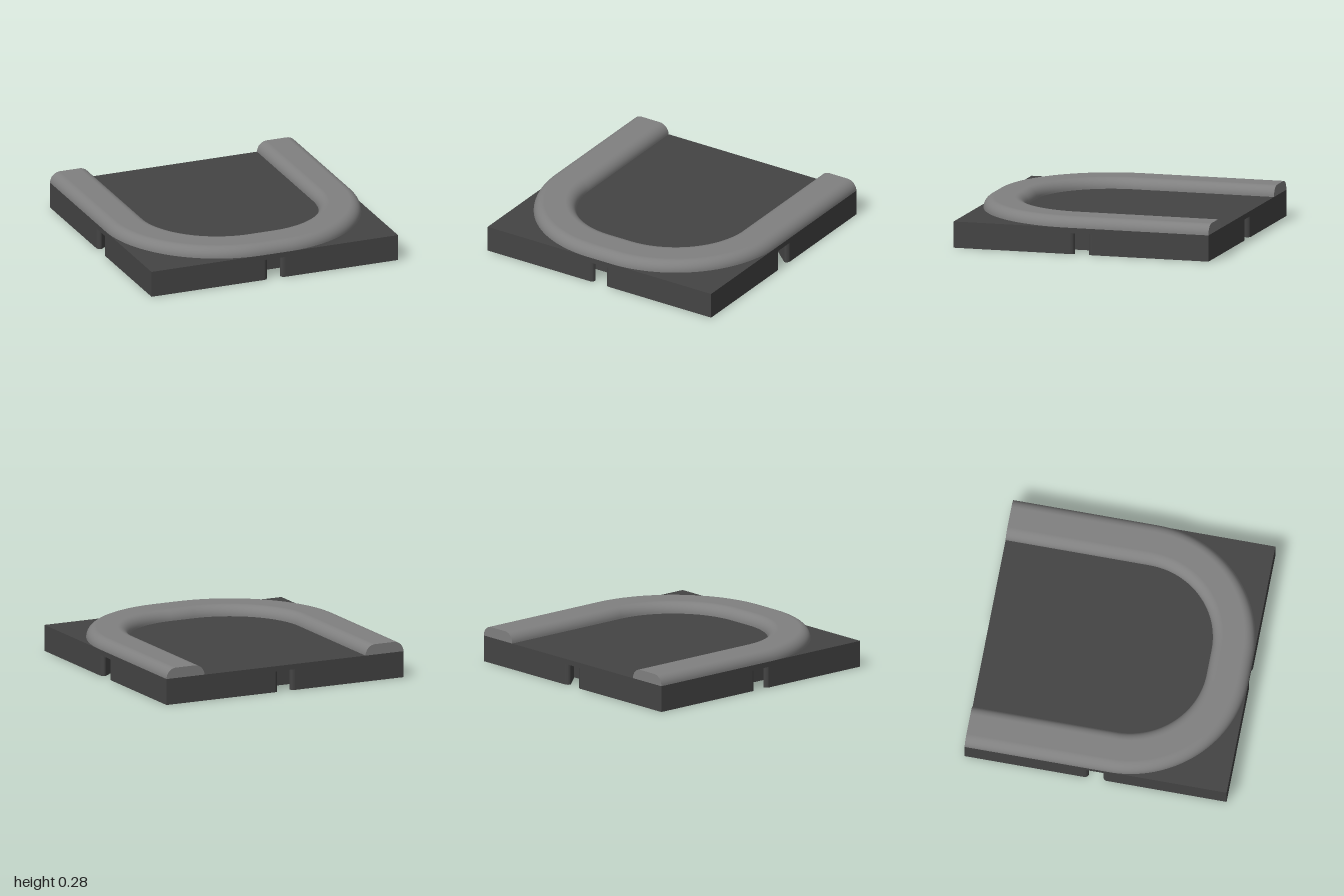
import * as THREE from 'three';

const BASE_TOP = 0.2, NOTCH_TOP = 0.16;
const TRACK_HALF = 0.16, TRACK_R = 0.08;

// Square outline with a dovetail notch in the middle of each side
function plateOutline() {
  const half = [];
  for (let i = 0; i <= 4; i++) {
    const a = -Math.PI / 2 + (i / 4) * Math.PI / 2;
    half.push([-0.085 + 0.03 * Math.cos(a), -0.97 + 0.03 * Math.sin(a)]);
  }
  half.push([-0.195, -0.81]);
  const side = [[-1, -1], ...half, ...half.map(([x, y]) => [-x, y]).reverse()];
  const pts = [];
  for (let k = 0; k < 4; k++) {
    for (const [x, y] of side) {
      pts.push(new THREE.Vector2(x, y).rotateAround(new THREE.Vector2(), k * Math.PI / 2));
    }
  }
  return new THREE.Shape(pts);
}

// Raised rail section: [offset from centre line, height], outer side first
function railProfile() {
  const pts = [];
  const n = 10;
  for (const s of [1, -1]) {
    for (let i = 0; i <= n; i++) {
      const a = ((s > 0 ? i : n - i) / n) * Math.PI / 2;
      pts.push([s * (TRACK_HALF - TRACK_R + TRACK_R * Math.cos(a)), BASE_TOP + TRACK_R * Math.sin(a)]);
    }
  }
  return pts;
}

// Sweep of the rail section along a U with two rounded corners
function railGeometry(profile) {
  const stations = [[0.84, -1, 0]];
  const n = 32;
  for (const [cx, start] of [[0.1, 0], [-0.1, Math.PI / 2]]) {
    for (let i = 0; i <= n; i++) {
      const a = start + (i / n) * Math.PI / 2;
      stations.push([cx + 0.74 * Math.cos(a), 0.1 + 0.74 * Math.sin(a), a]);
    }
  }
  stations.push([-0.84, -1, Math.PI]);

  const pos = [], idx = [], m = profile.length;
  stations.forEach(([x, z, a], j) => {
    for (const [o, y] of profile) pos.push(x + o * Math.cos(a), y, z + o * Math.sin(a));
    if (j === 0) return;
    for (let i = 0; i < m - 1; i++) {
      const p = (j - 1) * m + i, q = p + m;
      idx.push(p, p + 1, q, p + 1, q + 1, q);
    }
  });
  const geo = new THREE.BufferGeometry();
  geo.setAttribute('position', new THREE.Float32BufferAttribute(pos, 3));
  geo.setIndex(idx);
  geo.computeVertexNormals();
  return geo;
}

export function createModel() {
  const group = new THREE.Group();
  const dark = new THREE.MeshStandardMaterial({ color: 0x444444 });
  const grey = new THREE.MeshStandardMaterial({ color: 0x808080 });
  const add = (name, geo, mat) => {
    const mesh = new THREE.Mesh(geo, mat);
    mesh.name = name;
    group.add(mesh);
    return mesh;
  };

  // Notched lower layer and the solid layer that closes the notches
  const lower = new THREE.ExtrudeGeometry(plateOutline(), { depth: NOTCH_TOP, bevelEnabled: false });
  lower.rotateX(-Math.PI / 2);
  add('notchedBase', lower, dark);
  const slab = new THREE.BoxGeometry(2, BASE_TOP - NOTCH_TOP, 2);
  add('topPlate', slab, dark).position.y = (BASE_TOP + NOTCH_TOP) / 2;

  // U-shaped rail with flat ends at the back
  const profile = railProfile();
  add('curvedRail', railGeometry(profile), grey);
  const capShape = new THREE.Shape(profile.map(([x, y]) => new THREE.Vector2(x, y)));
  for (const [name, x] of [['leftRailEnd', 0.84], ['rightRailEnd', -0.84]]) {
    const cap = add(name, new THREE.ShapeGeometry(capShape), grey);
    cap.rotation.y = Math.PI;
    cap.position.set(x, 0, -1);
  }
  return group;
}
